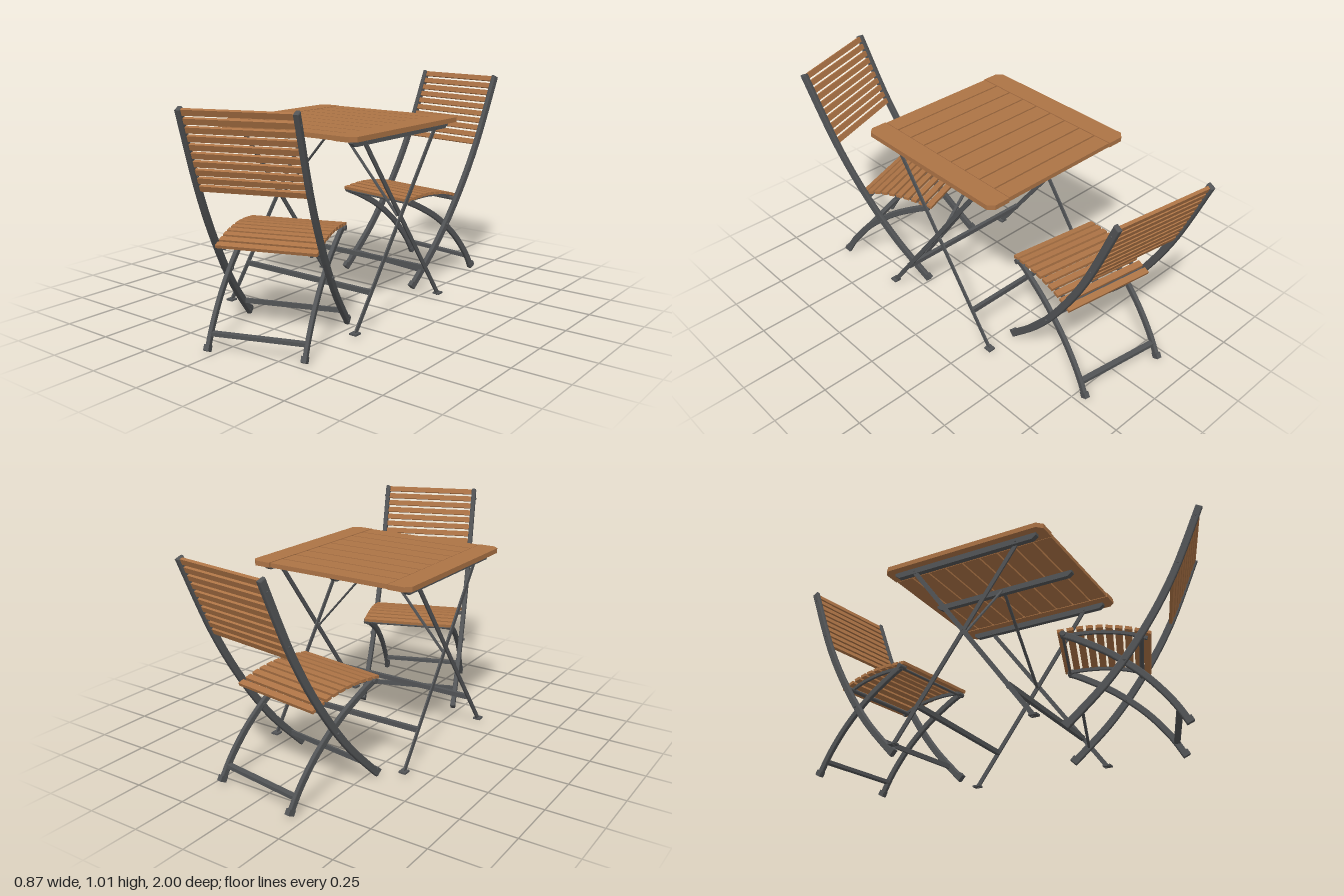
import * as THREE from 'three';

const wood = new THREE.MeshStandardMaterial({ color: 0xac7345 });
wood.name = 'warm wood';
const steel = new THREE.MeshStandardMaterial({ color: 0x525456 });
steel.name = 'dark steel';

const V = (x, y, z) => new THREE.Vector3(x, y, z);

function add(parent, name, geometry, material, x = 0, y = 0, z = 0) {
  const mesh = new THREE.Mesh(geometry, material);
  mesh.name = name;
  mesh.position.set(x, y, z);
  parent.add(mesh);
  return mesh;
}

const box = (parent, name, material, size, pos) =>
  add(parent, name, new THREE.BoxGeometry(...size), material, ...pos);

// Straight flat bar between two points
function strut(parent, name, a, b, w, d) {
  const dir = b.clone().sub(a);
  const mid = a.clone().add(b).multiplyScalar(0.5);
  const mesh = box(parent, name, steel, [w, dir.length(), d], mid.toArray());
  mesh.quaternion.setFromUnitVectors(V(0, 1, 0), dir.normalize());
  return mesh;
}

// Round rod lying along x
function rod(parent, name, r, length, x, y, z) {
  const g = new THREE.CylinderGeometry(r, r, length, 12).rotateZ(Math.PI / 2);
  return add(parent, name, g, steel, x, y, z);
}

// Board or bar with an outline in the z/y plane, extruded along x
function sideExtrude(points, thick, bevel) {
  const g = new THREE.ExtrudeGeometry(new THREE.Shape(points), {
    depth: thick - 2 * bevel, bevelEnabled: bevel > 0, bevelThickness: bevel,
    bevelSize: bevel, bevelOffset: -bevel, bevelSegments: 2,
  });
  return g.translate(0, 0, bevel - thick / 2).rotateY(-Math.PI / 2);
}

// Bent bar that follows a curve in the z/y plane
function bentBar(curve, width, thick, bevel) {
  const n = 20, upper = [], lower = [];
  for (let i = 0; i <= n; i++) {
    const p = curve.getPointAt(i / n), t = curve.getTangentAt(i / n);
    const normal = new THREE.Vector2(-t.y, t.x).multiplyScalar(width / 2);
    upper.push(p.clone().add(normal));
    lower.push(p.clone().sub(normal));
  }
  return sideExtrude([...lower, ...upper.reverse()], thick, bevel);
}

const spline = (...pts) => new THREE.SplineCurve(pts.map(p => new THREE.Vector2(...p)));

// Point on a curve at a given height (curve runs downward)
function atHeight(curve, y) {
  let lo = 0, hi = 1;
  for (let i = 0; i < 30; i++) {
    const m = (lo + hi) / 2;
    if (curve.getPoint(m).y > y) lo = m; else hi = m;
  }
  return { p: curve.getPoint(lo), t: curve.getTangent(lo) };
}

function createTable() {
  const table = new THREE.Group();
  table.name = 'table';
  const y = 0.845, h = 0.022, half = 0.402;

  // End boards with clipped outer corners
  for (const s of [-1, 1]) {
    const c = 0.025;
    const shape = new THREE.Shape([[0, -half], [0.1 - c, -half], [0.1, -half + c],
      [0.1, half - c], [0.1 - c, half], [0, half]].map(p => new THREE.Vector2(...p)));
    const g = new THREE.ExtrudeGeometry(shape, { depth: h, bevelEnabled: false });
    g.rotateX(-Math.PI / 2).translate(0, -h / 2, 0);
    const board = add(table, 'endBoard', g, wood, s * 0.302, y, 0);
    if (s < 0) board.rotation.y = Math.PI;
  }
  // Slats between the end boards
  const pitch = 2 * half / 9;
  for (let i = 0; i < 9; i++) {
    box(table, 'topSlat', wood, [0.596, h - 0.002, pitch - 0.008], [0, y, (i - 4) * pitch]);
  }
  // Rails under the top, clipped at their lower ends
  for (const x of [-0.355, 0, 0.355]) {
    const g = sideExtrude([[-0.34, 0], [0.34, 0], [0.36, 0.015], [0.36, 0.027],
      [-0.36, 0.027], [-0.36, 0.015]].map(p => new THREE.Vector2(...p)), 0.024, 0);
    add(table, 'underRail', g, steel, x, 0.807, 0);
  }
  // Crossed legs, feet, stretchers and pivots
  for (const d of [-1, 1]) {
    const off = d > 0 ? 0.361 : 0.349;
    for (const s of [-1, 1]) {
      strut(table, 'tableLeg', V(s * off, 0.82, -d * 0.26), V(s * off, 0.01, d * 0.335), 0.007, 0.02);
      box(table, 'tableFoot', steel, [0.034, 0.008, 0.036], [s * off, 0.014, d * 0.335]);
      rod(table, 'legBolt', 0.005, 0.03, s * 0.355, 0.82, -d * 0.26);
    }
    box(table, 'tableStretcher', steel, [2 * off, 0.022, 0.018], [0, 0.165, d * 0.221]);
  }
  for (const s of [-1, 1]) {
    rod(table, 'pivotBolt', 0.005, 0.03, s * 0.352, 0.462, 0);
    // Diagonal brace from pivot to the middle rail
    strut(table, 'brace', V(s * 0.34, 0.455, 0), V(s * 0.015, 0.82, 0), 0.006, 0.014);
  }
  table.position.set(-0.03, 0, 0.026);
  return table;
}

function createChair(name, x, z, turn) {
  const chair = new THREE.Group();
  chair.name = name;
  const backCurve = spline([-0.612, 0.998], [-0.475, 0.67], [-0.337, 0.42], [-0.18, 0.2], [0, 0.01]);
  const legCurve = spline([0, 0.43], [-0.07, 0.399], [-0.2, 0.326], [-0.33, 0.222], [-0.43, 0.108], [-0.49, 0.01]);
  const seatCurve = spline([-0.367, 0.408], [-0.27, 0.438], [-0.17, 0.452], [-0.08, 0.453], [0.025, 0.442]);
  const railCurve = spline([-0.35, 0.399], [-0.27, 0.426], [-0.17, 0.44], [-0.08, 0.44], [0.01, 0.431]);

  // Side frames
  for (const s of [-1, 1]) {
    add(chair, 'backLeg', bentBar(backCurve, 0.032, 0.022, 0.005), steel, s * 0.23, 0, 0);
    add(chair, 'frontLeg', bentBar(legCurve, 0.03, 0.018, 0.005), steel, s * 0.206, 0, 0);
    add(chair, 'seatRail', bentBar(railCurve, 0.016, 0.012, 0), steel, s * 0.188, 0, 0);
    for (const [curve, px, turnX] of [[backCurve, 0.23, -0.75], [legCurve, 0.206, 0.5]]) {
      const p = curve.getPoint(0.985);
      const foot = box(chair, 'footCap', steel, [0.023, 0.026, 0.033], [s * px, 0.022, p.x]);
      foot.rotation.x = turnX;
    }
    rod(chair, 'pivotBolt', 0.006, 0.054, s * 0.221, 0.285, -0.248);
    rod(chair, 'hingeBolt', 0.012, 0.036, s * 0.206, 0.43, 0);
    for (const y of [0.95, 0.72]) {
      rod(chair, 'backBolt', 0.005, 0.03, s * 0.23, y, atHeight(backCurve, y).p.x);
    }
  }
  // Backrest slats
  for (let i = 0; i < 10; i++) {
    const { p, t } = atHeight(backCurve, 0.984 - i * 0.0345);
    const slat = box(chair, 'backSlat', wood, [0.44, 0.025, 0.014], [0, p.y, p.x]);
    slat.rotation.x = Math.atan2(t.x, t.y) - Math.PI;
  }
  // Curved seat made of slats
  for (let i = 0; i < 10; i++) {
    const u = (i + 0.4) / 9.8;
    const p = seatCurve.getPointAt(u), t = seatCurve.getTangentAt(u);
    const slat = box(chair, 'seatSlat', wood, [0.436, 0.014, 0.029], [0, p.y, p.x]);
    slat.rotation.x = -Math.atan2(t.y, t.x);
  }
  // Cross members
  rod(chair, 'seatRod', 0.01, 0.45, 0, 0.402, -0.325);
  rod(chair, 'hingeRod', 0.006, 0.4, 0, 0.425, 0);
  box(chair, 'frontStretcher', steel, [0.45, 0.022, 0.01], [0, 0.083, -0.07]);
  box(chair, 'rearStretcher', steel, [0.405, 0.016, 0.026], [0, 0.073, -0.455]);

  chair.position.set(x, 0, z);
  chair.rotation.y = turn;
  return chair;
}

export function createModel() {
  const model = new THREE.Group();
  model.name = 'foldingTableAndChairs';
  model.add(createTable());
  model.add(createChair('rearChair', -0.058, -0.342, -0.146));
  model.add(createChair('frontChair', -0.008, 0.333, Math.PI + 0.36));
  return model;
}
